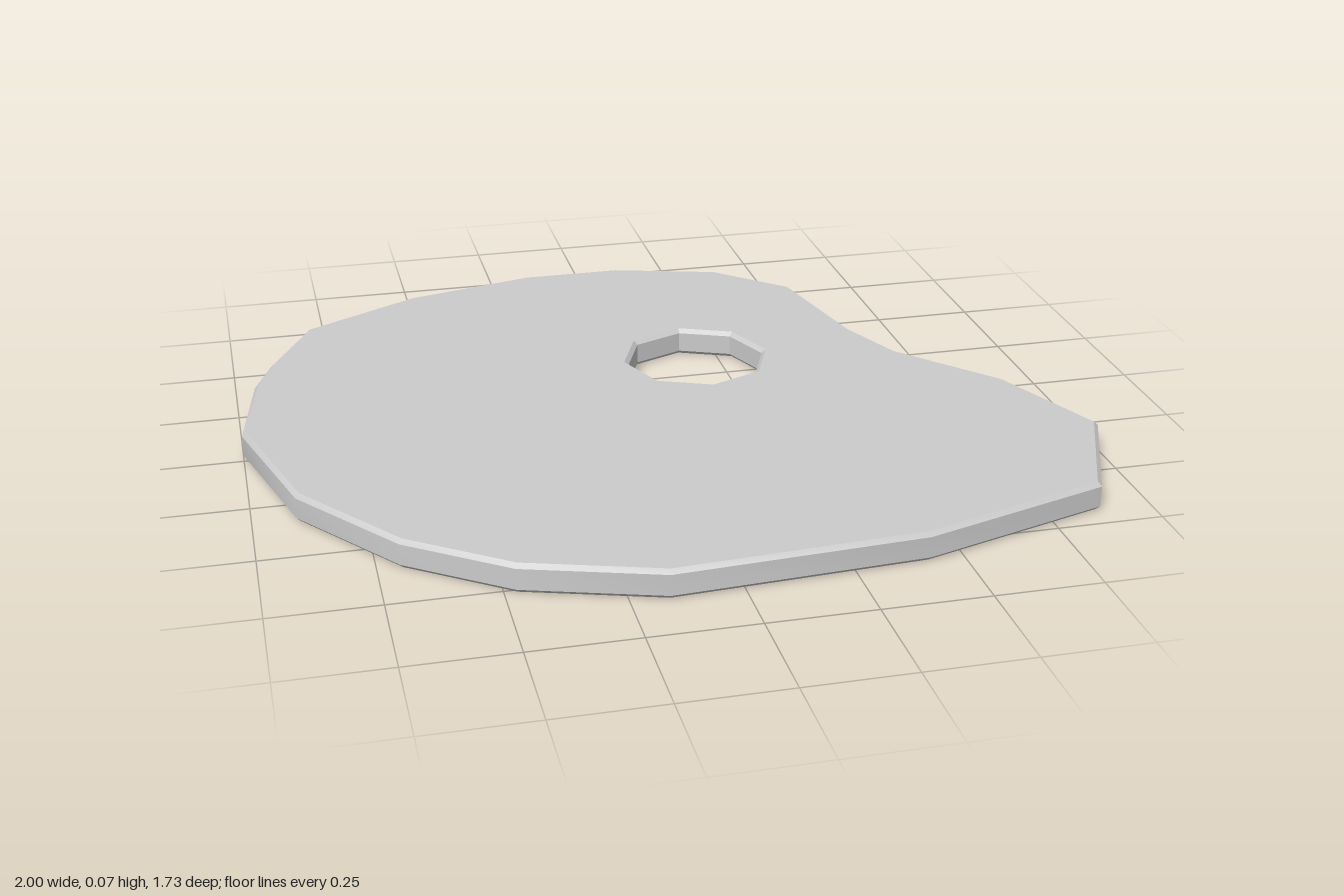
import * as THREE from 'three';
import { toCreasedNormals } from 'three/addons/utils/BufferGeometryUtils.js';

const THICKNESS = 0.07;
const BEVEL = 0.01;

// Outline of the board seen from above, as [x, z]
const OUTLINE = [
  [-1, -0.01], [-0.9, 0.34], [-0.7, 0.605], [-0.475, 0.767], [-0.165, 0.865],
  [0.42, 0.83], [0.875, 0.69], [1, 0.385], [0.875, 0.095], [0.67, -0.135],
  [0.6, -0.3], [0.53, -0.63], [0.355, -0.79], [0.085, -0.867], [-0.17, -0.867],
  [-0.505, -0.783], [-0.8, -0.62], [-0.905, -0.415], [-0.955, -0.285],
];

export function createModel() {
  const group = new THREE.Group();
  group.name = 'paintPalette';

  const shape = new THREE.Shape(OUTLINE.map(([x, z]) => new THREE.Vector2(x, -z)));

  // Eight-sided thumb hole
  const hole = [];
  for (let i = 0; i < 8; i++) {
    const a = (-i / 8) * Math.PI * 2;
    hole.push(new THREE.Vector2(0.157 + 0.176 * Math.cos(a), 0.216 + 0.176 * Math.sin(a)));
  }
  shape.holes.push(new THREE.Path(hole));

  // Flat board with narrow chamfers, laid on the ground
  const geometry = new THREE.ExtrudeGeometry(shape, {
    depth: THICKNESS - 2 * BEVEL,
    bevelThickness: BEVEL,
    bevelSize: BEVEL,
    bevelOffset: -BEVEL,
    bevelSegments: 1,
  });
  geometry.rotateX(-Math.PI / 2);
  geometry.translate(0, BEVEL, 0);

  const board = new THREE.Mesh(
    toCreasedNormals(geometry, Math.PI / 6),
    new THREE.MeshStandardMaterial({ color: 0xcccccc })
  );
  board.name = 'board';
  group.add(board);
  return group;
}
